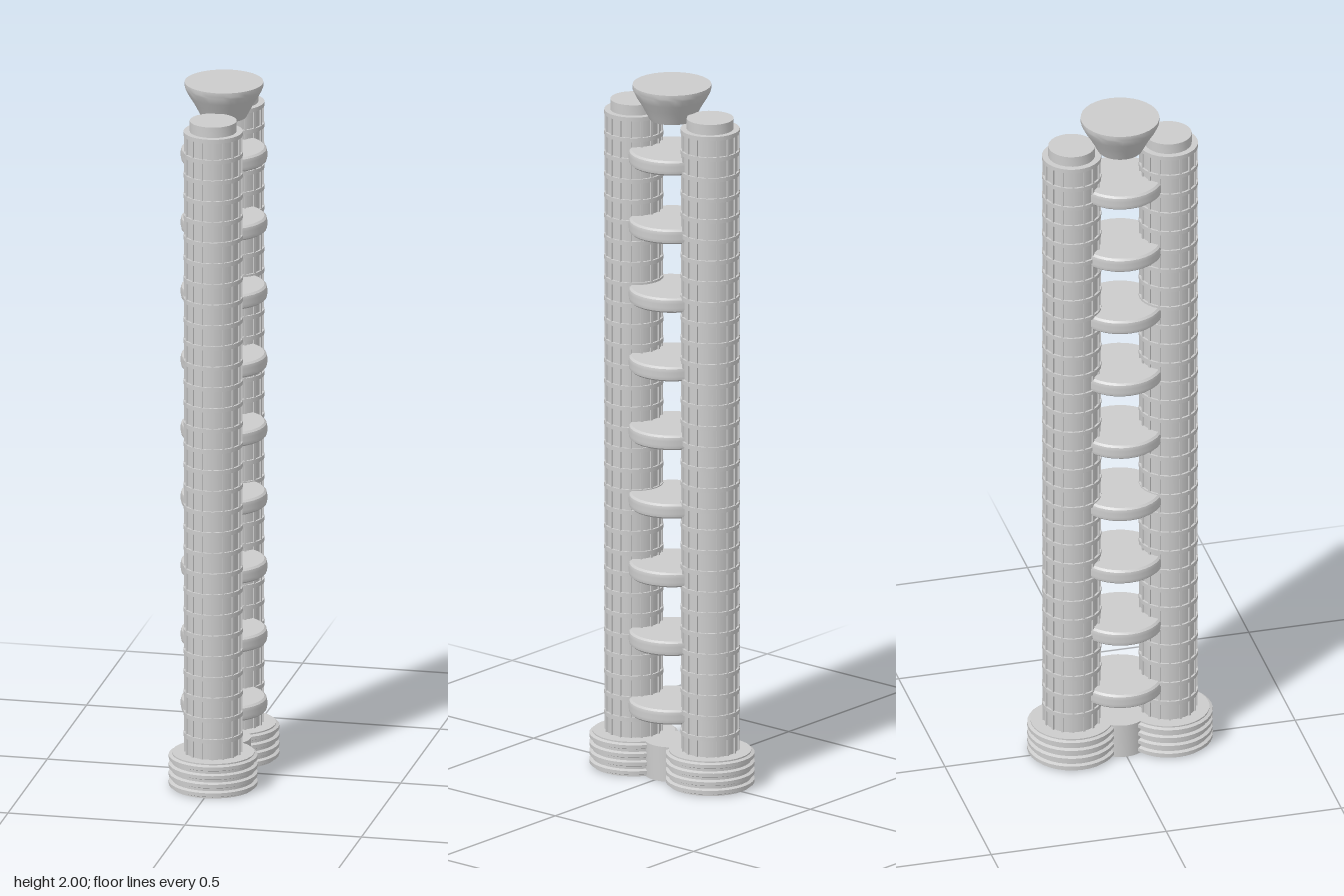
import * as THREE from 'three';
import { toCreasedNormals } from 'three/addons/utils/BufferGeometryUtils.js';

const material = new THREE.MeshStandardMaterial({ color: 0xcccccc });

function addMesh(parent, name, geometry, x = 0, y = 0, z = 0) {
  const mesh = new THREE.Mesh(geometry, material);
  mesh.name = name;
  mesh.position.set(x, y, z);
  parent.add(mesh);
  return mesh;
}

// Turned solid from [radius, height] pairs, crisp at the edges
function turned(profile, sides = 32) {
  const points = profile.map(([r, y]) => new THREE.Vector2(r, y));
  return toCreasedNormals(new THREE.LatheGeometry(points, sides), 0.5);
}

// Stacked ridges between y0 and y1, alternating inner and outer radius
function ridged(inner, outer, y0, y1, count) {
  const profile = [[0, y0], [inner, y0]];
  const step = (y1 - y0) / count;
  for (let i = 0; i < count; i++) {
    const y = y0 + i * step;
    profile.push([inner, y + step * 0.15], [outer, y + step * 0.3],
      [outer, y + step * 0.7], [inner, y + step * 0.85]);
  }
  profile.push([inner, y1], [0, y1]);
  return profile;
}

export function createModel() {
  const model = new THREE.Group();
  model.name = 'twinTower';

  const baseGeo = turned(ridged(0.114, 0.123, 0, 0.1, 4));
  const coreGeo = turned([[0, 0.09], [0.076, 0.09], [0.076, 1.9], [0.065, 1.9], [0.065, 1.93], [0, 1.93]]);
  const bandGeo = turned([[0.07, -0.006], [0.082, -0.006], [0.082, 0.006], [0.07, 0.006]]);
  const ribGeo = new THREE.BoxGeometry(0.006, 1.8, 0.01);

  // Two towers, front and back
  for (const side of [1, -1]) {
    const tower = new THREE.Group();
    tower.name = side > 0 ? 'frontTower' : 'backTower';
    tower.position.z = side * 0.138;
    model.add(tower);
    addMesh(tower, 'base', baseGeo);
    addMesh(tower, 'core', coreGeo);

    // Floor bands
    for (let i = 0; i < 30; i++) addMesh(tower, 'floorBand', bandGeo, 0, 0.154 + i * 0.06, 0);

    // Vertical ribs
    for (let i = 0; i < 16; i++) {
      const a = ((i + 0.5) / 16) * Math.PI * 2;
      const rib = addMesh(tower, 'rib', ribGeo, Math.sin(a) * 0.0755, 1, Math.cos(a) * 0.0755);
      rib.rotation.y = a;
    }
  }

  // Block joining the two bases
  addMesh(model, 'baseLink', turned([[0, 0], [0.075, 0], [0.075, 0.1], [0, 0.1]]));

  // Bridge discs between the towers
  const discGeo = turned([[0, -0.021], [0.112, -0.021], [0.118, -0.016], [0.12, -0.006],
    [0.12, 0.006], [0.118, 0.016], [0.112, 0.021], [0, 0.021]]);
  for (let i = 1; i <= 9; i++) addMesh(model, 'bridgeDisc', discGeo, 0, i * 0.199, 0);

  // Flared crown on top
  addMesh(model, 'crown', turned([[0, 1.9], [0.062, 1.9], [0.07, 1.915], [0.083, 1.94],
    [0.097, 1.962], [0.107, 1.982], [0.109, 1.988], [0.109, 2], [0, 2]]));

  return model;
}
